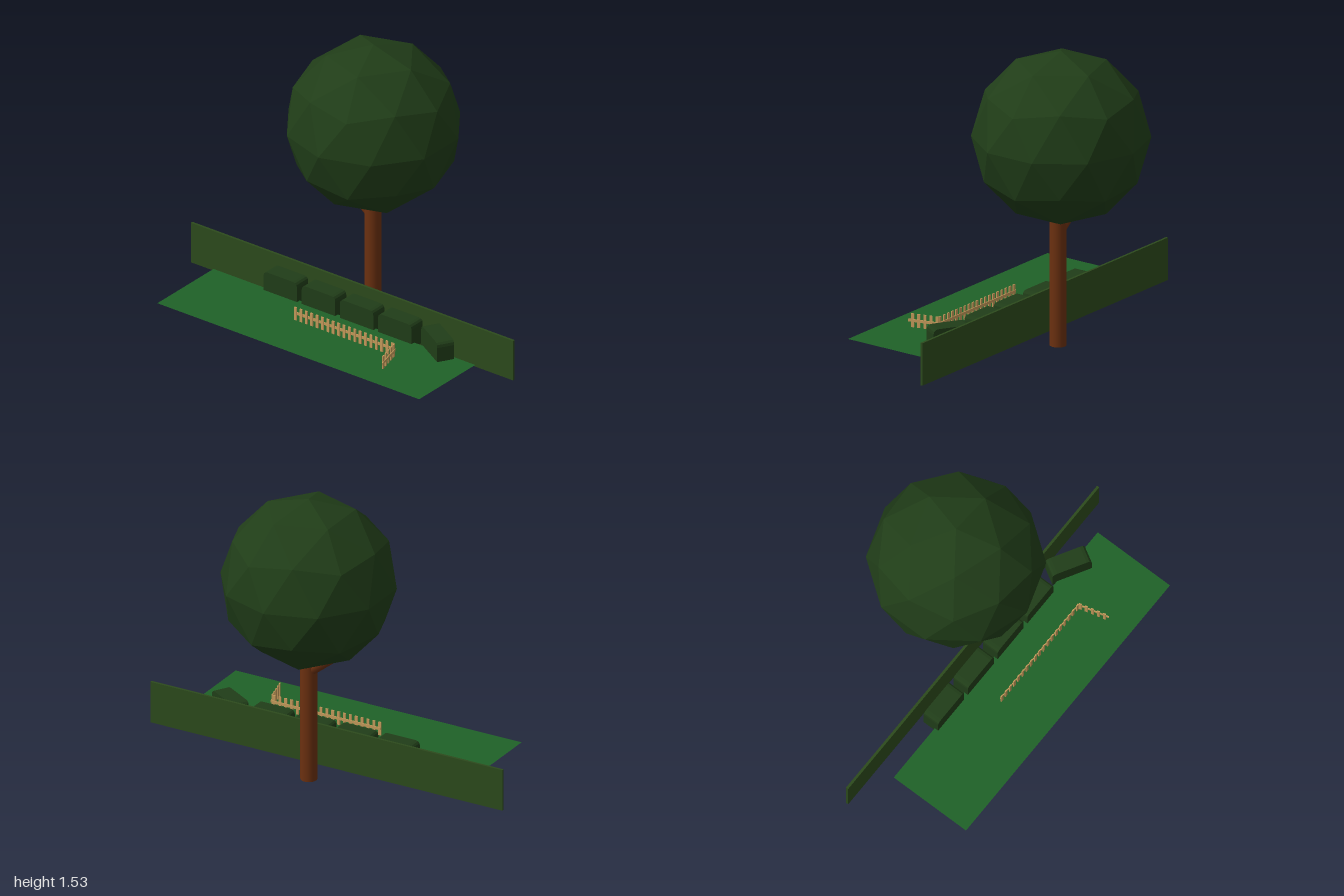
import * as THREE from 'three';

const mat = (color, extra = {}) => new THREE.MeshStandardMaterial({ color, ...extra });

function add(parent, name, geometry, material, x = 0, y = 0, z = 0) {
  const mesh = new THREE.Mesh(geometry, material);
  mesh.name = name;
  mesh.position.set(x, y, z);
  parent.add(mesh);
  return mesh;
}

// Clipped bush: a block with its two upper ends rounded, centred in x and z
function bushGeometry(w, h, d, r) {
  const s = new THREE.Shape();
  s.moveTo(-w / 2, 0);
  s.lineTo(w / 2, 0);
  s.lineTo(w / 2, h - r);
  s.quadraticCurveTo(w / 2, h, w / 2 - r, h);
  s.lineTo(-w / 2 + r, h);
  s.quadraticCurveTo(-w / 2, h, -w / 2, h - r);
  s.closePath();
  return new THREE.ExtrudeGeometry(s, { depth: d, bevelEnabled: false, curveSegments: 3 })
    .translate(0, 0, -d / 2);
}

// Straight fence run along +x from its origin: evenly spaced pickets and one rail
function fenceRun(name, count, spacing, first, length, material) {
  const run = new THREE.Group();
  run.name = name;
  const picket = new THREE.BoxGeometry(0.015, 0.14, 0.006);
  for (let i = 0; i < count; i++) add(run, 'picket', picket, material, first + i * spacing, 0.114, 0);
  add(run, 'rail', new THREE.BoxGeometry(length, 0.014, 0.005), material, length / 2, 0.149, -0.004);
  return run;
}

export function createModel() {
  const model = new THREE.Group();
  model.name = 'garden';
  const wood = mat(0x6b3010);
  const leaf = mat(0x203d18, { flatShading: true });
  const timber = mat(0xc49a5a);

  // Tree: trunk, side branch and faceted round crown
  const tree = new THREE.Group();
  tree.name = 'tree';
  model.add(tree);
  add(tree, 'trunk', new THREE.CylinderGeometry(0.042, 0.042, 0.8, 24), wood, 0.037, 0.4, -0.11);
  const from = new THREE.Vector3(0.03, 0.592, -0.11);
  const to = new THREE.Vector3(-0.2, 0.775, -0.11);
  const dir = to.clone().sub(from);
  const branch = add(tree, 'branch', new THREE.CylinderGeometry(0.03, 0.03, dir.length(), 16), wood);
  branch.position.copy(from).lerp(to, 0.5);
  branch.quaternion.setFromUnitVectors(new THREE.Vector3(0, 1, 0), dir.normalize());
  // Turned so that one corner points straight up
  const crown = new THREE.IcosahedronGeometry(0.443, 1).rotateZ(-Math.atan(2 / (1 + Math.sqrt(5))));
  add(tree, 'crown', crown, leaf, 0.03, 1.083, -0.123);

  // Long hedge panel and lawn
  add(model, 'hedge', new THREE.BoxGeometry(2, 0.22, 0.013), mat(0x2c4a1c), 0, 0.14, 0.004);
  add(model, 'lawn', new THREE.PlaneGeometry(1.625, 0.45).rotateX(-Math.PI / 2),
    mat(0x1f6228, { side: THREE.DoubleSide }), 0.037, 0.113, 0.344);

  // Row of four bushes and a turned one at the end
  const bush = bushGeometry(0.208, 0.132, 0.09, 0.026);
  for (let i = 0; i < 4; i++) add(model, 'bush', bush, leaf, -0.345 + i * 0.237, 0.085, 0.095);
  add(model, 'endBush', bush, leaf, 0.617, 0.085, 0.12).rotation.y = -Math.PI / 6;

  // Picket fence: long front run, then a short run turning forward
  const front = fenceRun('frontFence', 19, 0.0334, 0.007, 0.62, timber);
  front.position.set(-0.14, 0, 0.29);
  const side = fenceRun('sideFence', 5, 0.0325, 0.008, 0.16, timber);
  side.position.set(0.48, 0, 0.29);
  side.rotation.y = -Math.atan2(0.155, 0.04);
  model.add(front, side);

  return model;
}
